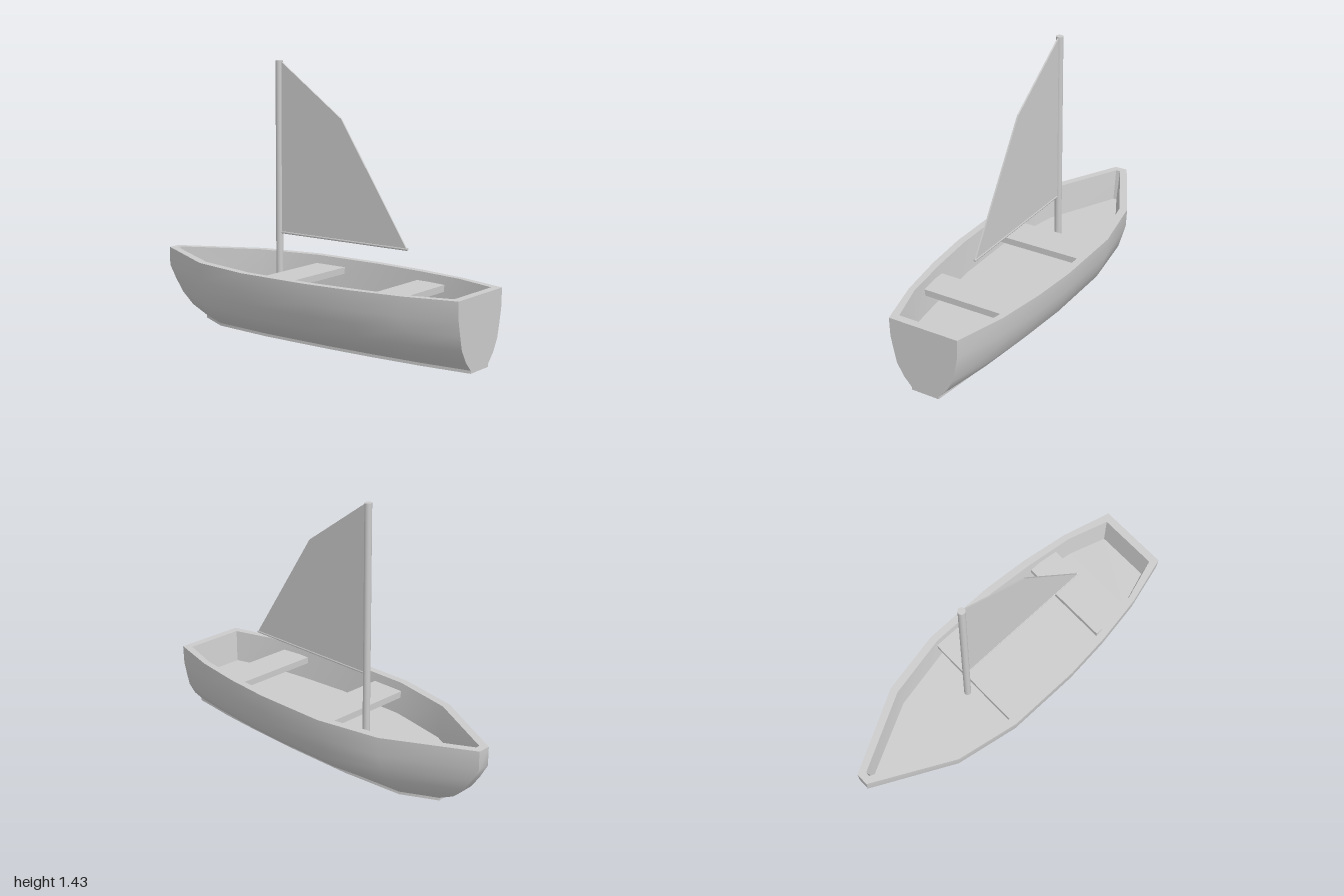
import * as THREE from 'three';
import { toCreasedNormals } from 'three/addons/utils/BufferGeometryUtils.js';

const grey = new THREE.MeshStandardMaterial({ color: 0xcccccc });

// Deck outline from bow to stern: [x, half width]
const OUTLINE = [[-1, 0.035], [-0.56, 0.267], [-0.21, 0.334], [0.2, 0.334], [0.46, 0.312], [0.73, 0.27], [1, 0.195]];
const INNER_RIM = [[-0.96, 0.012], [-0.55, 0.225], [-0.2, 0.294], [0.2, 0.294], [0.46, 0.272], [0.73, 0.236], [0.957, 0.165]];
const INNER_FLOOR = [[-0.93, 0.01], [-0.54, 0.205], [-0.2, 0.272], [0.2, 0.272], [0.46, 0.25], [0.73, 0.215], [0.936, 0.148]];

// Outer hull levels: [height, width factor, bow x]
const LEVELS = [
  [0, 0.4, -0.745], [0.015, 0.4, -0.745], [0.063, 0.63, -0.84], [0.128, 0.82, -0.91],
  [0.2, 0.905, -0.96], [0.27, 0.98, -1], [0.37, 1, -1],
];
const FLOOR_Y = 0.2;
const MAST_X = -0.243, MAST_Z = -0.014;

function add(group, name, geometry, x = 0, y = 0, z = 0) {
  const mesh = new THREE.Mesh(geometry, grey);
  mesh.name = name;
  mesh.position.set(x, y, z);
  group.add(mesh);
  return mesh;
}

// Closed horizontal ring: port side bow to stern, then mirrored back
function ring(stations, y) {
  const near = stations.map(([x, w]) => [x, y, w]);
  const far = stations.map(([x, w]) => [x, y, -w]).reverse();
  return [...near, ...far];
}

// Hull shell: rings up the outside, over the rim and down to the floor
function hullGeometry() {
  const rings = LEVELS.map(([y, factor, bowX]) =>
    ring(OUTLINE.map(([x, w], i) => [i === 0 ? bowX : x, w * factor]), y));
  rings.push(ring(INNER_RIM, 0.37), ring(INNER_FLOOR, FLOOR_Y));

  const n = OUTLINE.length * 2;
  const index = [];
  for (let r = 0; r < rings.length - 1; r++) {
    for (let i = 0; i < n; i++) {
      const j = (i + 1) % n;
      const a = r * n + i, b = r * n + j;
      index.push(a, b, b + n, a, b + n, a + n);
    }
  }
  // Underside and inside floor
  const top = (rings.length - 1) * n;
  for (let i = 0; i < OUTLINE.length - 1; i++) {
    const a = i, b = i + 1, c = n - 2 - i, d = n - 1 - i;
    index.push(a, c, b, a, d, c);
    index.push(top + a, top + b, top + c, top + a, top + c, top + d);
  }
  const geometry = new THREE.BufferGeometry();
  geometry.setAttribute('position', new THREE.Float32BufferAttribute(rings.flat(2), 3));
  geometry.setIndex(index);
  return toCreasedNormals(geometry, 0.62);
}

export function createModel() {
  const boat = new THREE.Group();
  boat.name = 'sailboat';

  add(boat, 'hull', hullGeometry());

  // Benches, ends let into the hull walls
  for (const [name, x0, x1, halfWidth] of [['frontBench', -0.21, -0.02, 0.288], ['rearBench', 0.465, 0.64, 0.257]]) {
    add(boat, name, new THREE.BoxGeometry(x1 - x0, 0.035, halfWidth * 2), (x0 + x1) / 2, 0.308, 0);
  }

  // Mast standing on the floor
  const mastTop = 1.43;
  add(boat, 'mast', new THREE.CylinderGeometry(0.019, 0.019, mastTop - FLOOR_Y, 16),
    MAST_X, (mastTop + FLOOR_Y) / 2, MAST_Z);

  // Boom along the foot of the sail
  const boomEnd = 0.57;
  const boom = add(boat, 'boom', new THREE.CylinderGeometry(0.007, 0.007, boomEnd - MAST_X, 10),
    (boomEnd + MAST_X) / 2, 0.532, MAST_Z);
  boom.rotation.z = Math.PI / 2;

  // Sail, a thin four-cornered sheet
  const sail = new THREE.Shape([[-0.235, 0.53], [0.568, 0.53], [0.162, 1.15], [-0.235, 1.43]]
    .map(([x, y]) => new THREE.Vector2(x, y)));
  add(boat, 'sail', new THREE.ExtrudeGeometry(sail, { depth: 0.008, bevelEnabled: false }), 0, 0, MAST_Z - 0.004);

  return boat;
}
